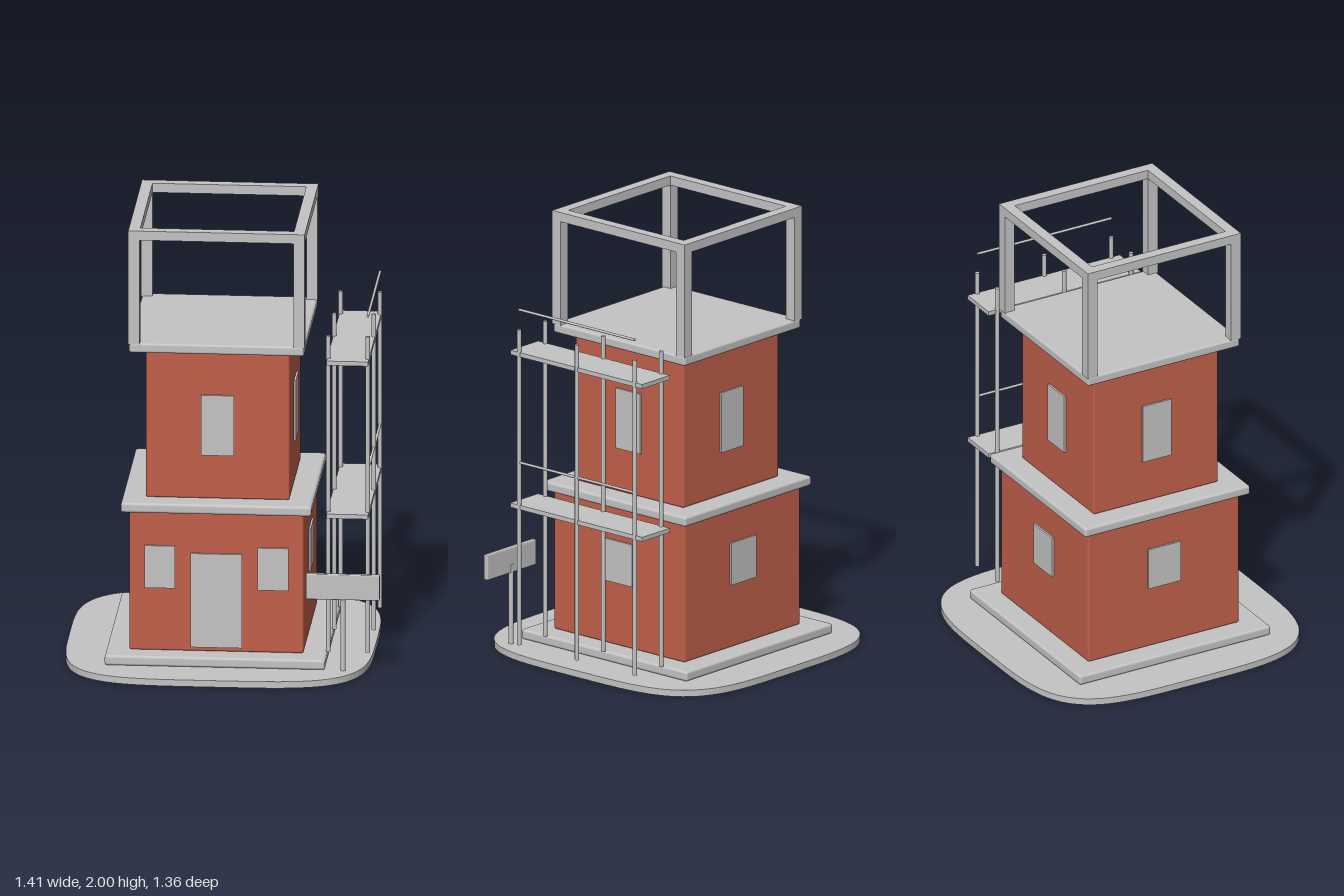
import * as THREE from 'three';
import { RoundedBoxGeometry } from 'three/addons/geometries/RoundedBoxGeometry.js';

export function createModel() {
  const model = new THREE.Group();
  model.name = 'towerHouse';
  const grey = new THREE.MeshStandardMaterial({ color: 0xc4c4c4 });
  grey.name = 'light grey';
  const red = new THREE.MeshStandardMaterial({ color: 0xc2604a });
  red.name = 'brick red';

  const CX = -0.027; // centre line of the house
  const add = (name, geometry, material, x, y, z) => {
    const mesh = new THREE.Mesh(geometry, material);
    mesh.name = name;
    mesh.position.set(x, y, z);
    model.add(mesh);
    return mesh;
  };
  const box = (name, w, h, d, x, y, z) =>
    add(name, new THREE.BoxGeometry(w, h, d), grey, x, y, z);
  // rounded square block standing between two heights
  const block = (name, size, y0, y1, material, radius) =>
    add(name, new RoundedBoxGeometry(size, y1 - y0, size, 2, radius), material, CX, (y0 + y1) / 2, 0);
  const pole = (name, r, length, x, y, z) =>
    add(name, new THREE.CylinderGeometry(r, r, length, 12), grey, x, y, z);

  // Ground plate: a rounded square outline
  const outline = [];
  const soft = (v) => Math.sign(v) * Math.sqrt(Math.abs(v)) * 0.678;
  for (let i = 0; i < 96; i++) {
    const a = (i / 96) * Math.PI * 2;
    outline.push(new THREE.Vector2(soft(Math.cos(a)), soft(Math.sin(a))));
  }
  const plate = new THREE.ExtrudeGeometry(new THREE.Shape(outline), { depth: 0.03, bevelEnabled: false });
  plate.rotateX(-Math.PI / 2);
  add('groundPlate', plate, grey, CX, 0, 0);

  // Storeys and slabs
  block('baseSlab', 0.972, 0.03, 0.076, grey, 0.012);
  block('lowerStorey', 0.768, 0.074, 0.714, red, 0.01);
  block('middleSlab', 0.84, 0.713, 0.758, grey, 0.012);
  block('upperStorey', 0.634, 0.756, 1.44, red, 0.01);
  block('roofSlab', 0.772, 1.439, 1.482, grey, 0.01);

  // Panels on a wall, given by wall angle, distance from centre and offset along the wall
  const panel = (name, angle, wall, offset, w, y0, y1) => {
    const mesh = box(name, w, y1 - y0, 0.009, 0, 0, 0);
    const out = wall + 0.0042;
    mesh.rotation.y = angle;
    mesh.position.set(
      CX + Math.sin(angle) * out + Math.cos(angle) * offset,
      (y0 + y1) / 2,
      Math.cos(angle) * out - Math.sin(angle) * offset
    );
  };
  panel('door', 0, 0.384, 0, 0.226, 0.095, 0.525);
  for (const s of [-1, 1]) panel('frontWindow', 0, 0.384, s * 0.25, 0.135, 0.363, 0.557);
  for (let i = 0; i < 4; i++) {
    const angle = (i * Math.PI) / 2;
    if (i > 0) panel('lowerWindow', angle, 0.384, 0, 0.164, 0.363, 0.557);
    panel('upperWindow', angle, 0.317, 0, 0.144, 0.957, 1.233);
  }

  // Open roof frame: four posts and four top beams
  const F = 0.364;
  for (const s of [-1, 1]) {
    for (const t of [-1, 1]) box('framePost', 0.05, 0.482, 0.05, CX + s * F, 1.72, t * F);
    box('frameBeam', 0.778, 0.042, 0.05, CX, 1.979, s * F);
    box('frameBeam', 0.05, 0.042, 0.68, CX + s * F, 1.979, 0);
  }

  // Scaffold: six poles, two decks and two guard rails
  const inner = 0.463, outer = 0.637;
  for (const x of [inner, outer])
    for (const z of [-0.34, 0, 0.34]) pole('scaffoldPole', 0.01, 1.45, x, 0.8, z);
  for (const y of [0.709, 1.412]) {
    box('scaffoldDeck', 0.184, 0.02, 0.774, 0.55, y, 0);
    pole('guardRail', 0.006, 0.68, outer, y + 0.205, 0).rotation.x = Math.PI / 2;
  }

  // Sign board on its post
  pole('signPost', 0.011, 0.37, 0.538, 0.21, 0.475);
  add('signBoard', new RoundedBoxGeometry(0.325, 0.116, 0.025, 2, 0.005), grey, 0.538, 0.415, 0.481);

  return model;
}
